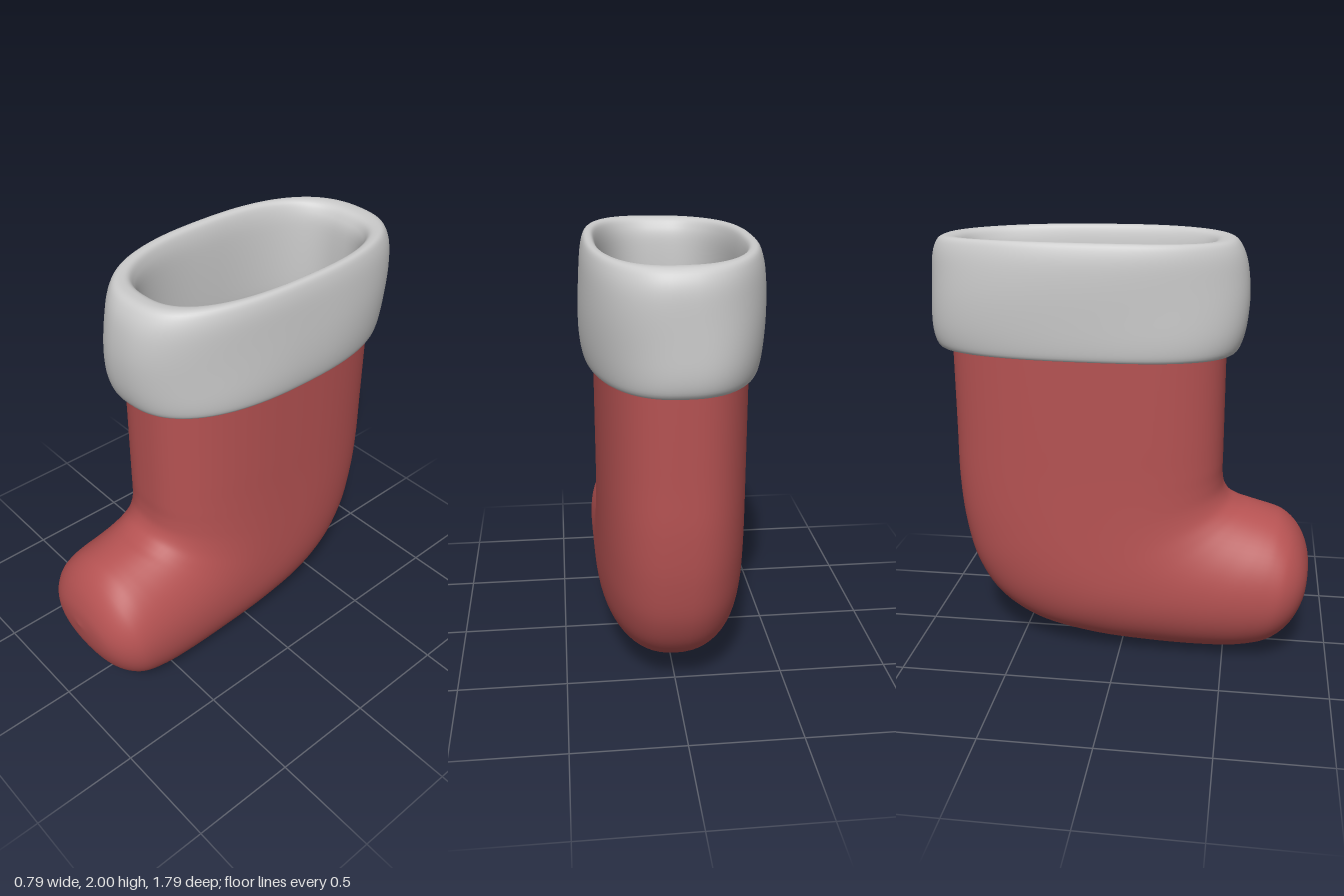
import * as THREE from 'three';

// Smooth surface through rings of points; point(t, angle) gives each vertex
function loft(point, rows, sides, closed) {
  const positions = [], index = [];
  const count = closed ? rows : rows + 1;
  for (let i = 0; i < count; i++) {
    for (let j = 0; j < sides; j++) {
      positions.push(...point(i / rows, (j / sides) * Math.PI * 2));
    }
  }
  for (let i = 0; i < rows; i++) {
    for (let j = 0; j < sides; j++) {
      const k = (j + 1) % sides, next = (i + 1) % count;
      const a = i * sides + j, b = next * sides + j;
      const c = i * sides + k, d = next * sides + k;
      index.push(a, c, b, b, c, d);
    }
  }
  const geometry = new THREE.BufferGeometry();
  geometry.setAttribute('position', new THREE.Float32BufferAttribute(positions, 3));
  geometry.setIndex(index);
  geometry.computeVertexNormals();
  return geometry;
}

// Rounded oval of unit half-size; n = 2 is an ellipse, higher is boxier
function oval(angle, n) {
  const bend = (v) => Math.sign(v) * Math.pow(Math.abs(v), 2 / n);
  return [bend(Math.cos(angle)), bend(Math.sin(angle))];
}

// Sock sections from the leg opening to the toe:
// front z, front y, back z, back y, half width
const SECTIONS = [
  [0.47, 1.90, -0.80, 1.90, 0.33],
  [0.47, 1.50, -0.80, 1.50, 0.33],
  [0.47, 1.10, -0.80, 1.10, 0.33],
  [0.47, 0.96, -0.80, 0.85, 0.33],
  [0.47, 0.88, -0.78, 0.62, 0.332],
  [0.48, 0.82, -0.73, 0.41, 0.335],
  [0.51, 0.775, -0.63, 0.24, 0.338],
  [0.56, 0.75, -0.46, 0.115, 0.34],
  [0.61, 0.738, -0.20, 0.04, 0.34],
  [0.66, 0.725, 0.12, 0.008, 0.34],
  [0.71, 0.71, 0.38, 0.003, 0.34],
  [0.76, 0.69, 0.56, 0.015, 0.335],
  [0.81, 0.65, 0.70, 0.055, 0.32],
  [0.855, 0.59, 0.80, 0.135, 0.27],
  [0.887, 0.51, 0.87, 0.26, 0.18],
  [0.90, 0.41, 0.90, 0.41, 0],
];

function sockGeometry() {
  const front = new THREE.CatmullRomCurve3(SECTIONS.map((s) => new THREE.Vector3(s[4], s[1], s[0])));
  const back = new THREE.CatmullRomCurve3(SECTIONS.map((s) => new THREE.Vector3(s[4], s[3], s[2])));
  return loft((t, angle) => {
    const f = front.getPoint(t), b = back.getPoint(t);
    const n = 2.6 - 0.55 * THREE.MathUtils.smoothstep(t, 0.2, 0.65);
    const [x, s] = oval(angle, n);
    const p = b.clone().lerp(f, (s + 1) / 2);
    return [x * f.x, p.y, p.z];
  }, 90, 72, false);
}

// Cuff wall profile: 0 = inner wall, 1 = outer wall, and height
const CUFF = [
  [0, 1.56], [0, 1.88], [0.14, 1.965], [0.45, 1.993], [0.76, 1.97], [0.93, 1.89],
  [0.99, 1.75], [0.96, 1.60], [0.84, 1.51], [0.5, 1.485], [0.12, 1.50],
];

function cuffGeometry() {
  const profile = new THREE.CatmullRomCurve3(
    CUFF.map(([s, y]) => new THREE.Vector3(s, y, 0)), true);
  const mix = THREE.MathUtils.lerp;
  return loft((t, angle) => {
    const { x: s, y } = profile.getPoint(t);
    const [x, z] = oval(angle, mix(2.6, 2.35, s));
    // gentle plush unevenness on the outside
    const puff = 1 + 0.012 * s * Math.sin(3 * angle + 9 * y);
    const lift = 0.006 * Math.sin(2 * angle + 1) * (s > 0.1 ? 1 : s * 10);
    return [x * mix(0.3, 0.392, s) * puff, y + lift, -0.167 + z * mix(0.545, 0.728, s) * puff];
  }, 72, 96, true);
}

export function createModel() {
  const model = new THREE.Group();
  model.name = 'stocking';

  // Hollow sock, open at the top
  const sock = new THREE.Mesh(sockGeometry(),
    new THREE.MeshStandardMaterial({ color: 0xb55252, side: THREE.DoubleSide }));
  sock.name = 'sock';

  // Thick soft band around the opening
  const cuff = new THREE.Mesh(cuffGeometry(),
    new THREE.MeshStandardMaterial({ color: 0xcccccc }));
  cuff.name = 'cuff';

  model.add(sock, cuff);
  return model;
}
